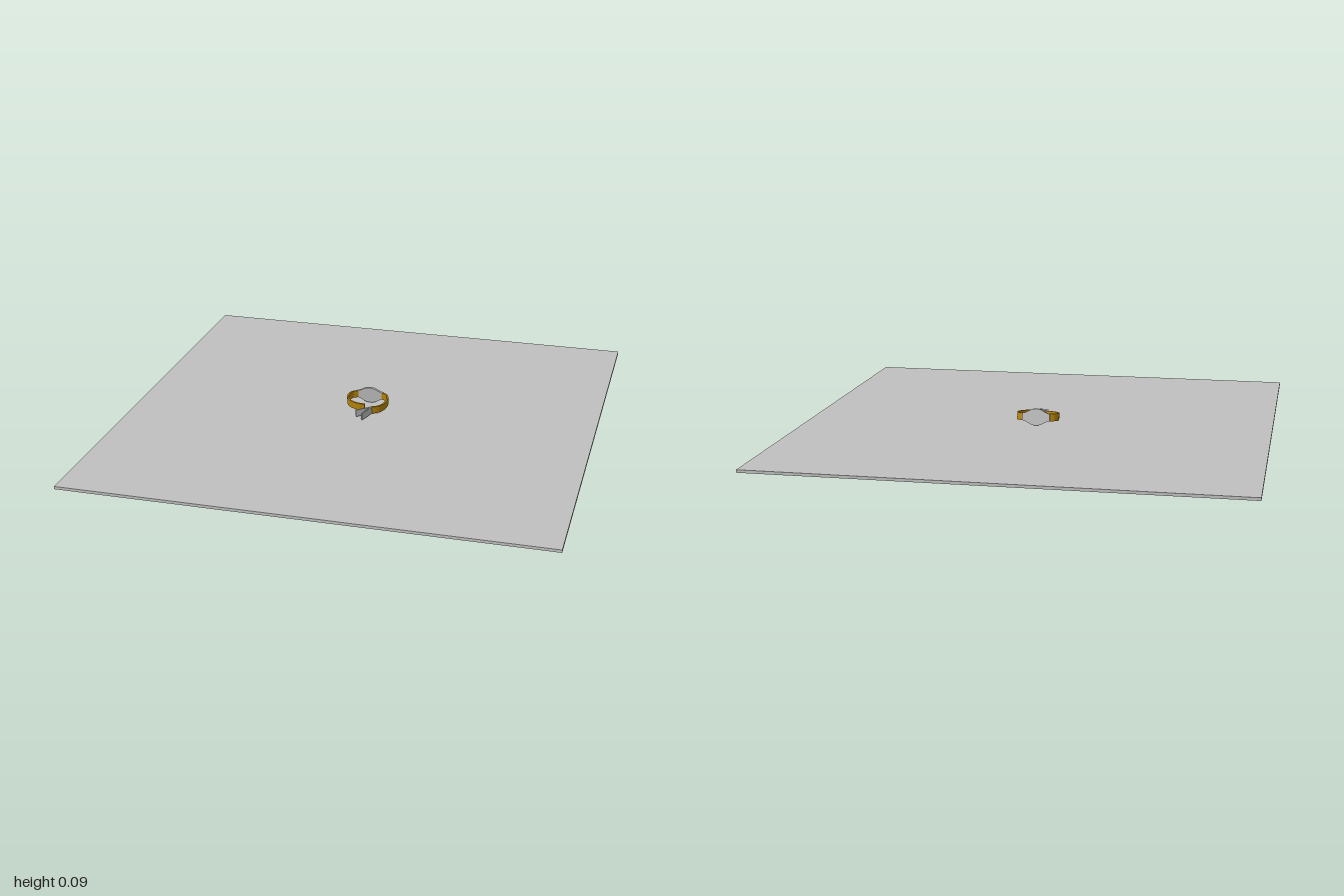
import * as THREE from 'three';

const grey = new THREE.MeshStandardMaterial({ color: 0xc0c0c0 });
grey.name = 'silver grey';
const gold = new THREE.MeshStandardMaterial({ color: 0xb8860b });
gold.name = 'dark gold';

const BAND = 0.032; // strap width

function add(parent, name, geometry, material) {
  const mesh = new THREE.Mesh(geometry, material);
  mesh.name = name;
  parent.add(mesh);
  return mesh;
}

// Upright band following a plan path of [x, z] points
function bandGeometry(path, thickness) {
  const curve = new THREE.CatmullRomCurve3(path.map(([x, z]) => new THREE.Vector3(x, -z, 0)), false, 'centripetal');
  const outer = [], inner = [];
  for (let i = 0; i <= 64; i++) {
    const p = curve.getPointAt(i / 64), t = curve.getTangentAt(i / 64);
    const nx = -t.y * thickness / 2, ny = t.x * thickness / 2;
    outer.push(new THREE.Vector2(p.x + nx, p.y + ny));
    inner.unshift(new THREE.Vector2(p.x - nx, p.y - ny));
  }
  const geometry = new THREE.ExtrudeGeometry(new THREE.Shape([...outer, ...inner]), { depth: BAND, bevelEnabled: false });
  return geometry.translate(0, 0, -BAND / 2).rotateX(-Math.PI / 2);
}

// Round plate that tapers into a wing on each side
function dialGeometry() {
  const s = new THREE.Shape();
  s.moveTo(-0.06, -0.015);
  s.bezierCurveTo(-0.03, -0.022, -0.03, -0.036, 0, -0.036);
  s.bezierCurveTo(0.03, -0.036, 0.03, -0.022, 0.06, -0.015);
  s.lineTo(0.06, 0.015);
  s.bezierCurveTo(0.03, 0.022, 0.03, 0.036, 0, 0.036);
  s.bezierCurveTo(-0.03, 0.036, -0.03, 0.022, -0.06, 0.015);
  return new THREE.ExtrudeGeometry(s, { depth: 0.011, bevelEnabled: false, curveSegments: 12 });
}

export function createModel() {
  const model = new THREE.Group();
  model.name = 'braceletOnPlate';

  // Base plate
  add(model, 'basePlate', new THREE.BoxGeometry(2, 0.012, 2).translate(0, 0.006, 0), grey);

  // Bracelet, leaning on its clasp
  const bracelet = new THREE.Group();
  bracelet.name = 'bracelet';
  bracelet.position.y = 0.041;
  bracelet.rotation.x = 0.12;
  model.add(bracelet);

  add(bracelet, 'strap', bandGeometry([
    [0.002, 0.008], [-0.035, 0.004], [-0.07, -0.015], [-0.088, -0.05], [-0.08, -0.085], [-0.055, -0.1],
    [0, -0.103], [0.055, -0.1], [0.08, -0.085], [0.088, -0.05], [0.08, -0.01], [0.062, 0.014], [0.038, 0.025],
  ], 0.007), gold);

  add(bracelet, 'dial', dialGeometry().translate(0, 0, -0.108), grey);

  // Two leaves of the open clasp, hinged at the strap end
  const leaves = [[0.04, 0.023, -0.022, 0.066], [0.038, 0.025, 0.01, 0.09]];
  leaves.forEach(([x0, z0, x1, z1], i) => {
    const length = Math.hypot(x1 - x0, z1 - z0);
    const leaf = add(bracelet, 'claspLeaf' + (i + 1), new THREE.BoxGeometry(length, BAND, 0.005), grey);
    leaf.position.set((x0 + x1) / 2, 0, (z0 + z1) / 2);
    leaf.rotation.y = -Math.atan2(z1 - z0, x1 - x0);
  });
  const hinge = add(bracelet, 'claspHinge', new THREE.CylinderGeometry(0.004, 0.004, BAND, 12), grey);
  hinge.position.set(0.039, 0, 0.024);

  return model;
}
